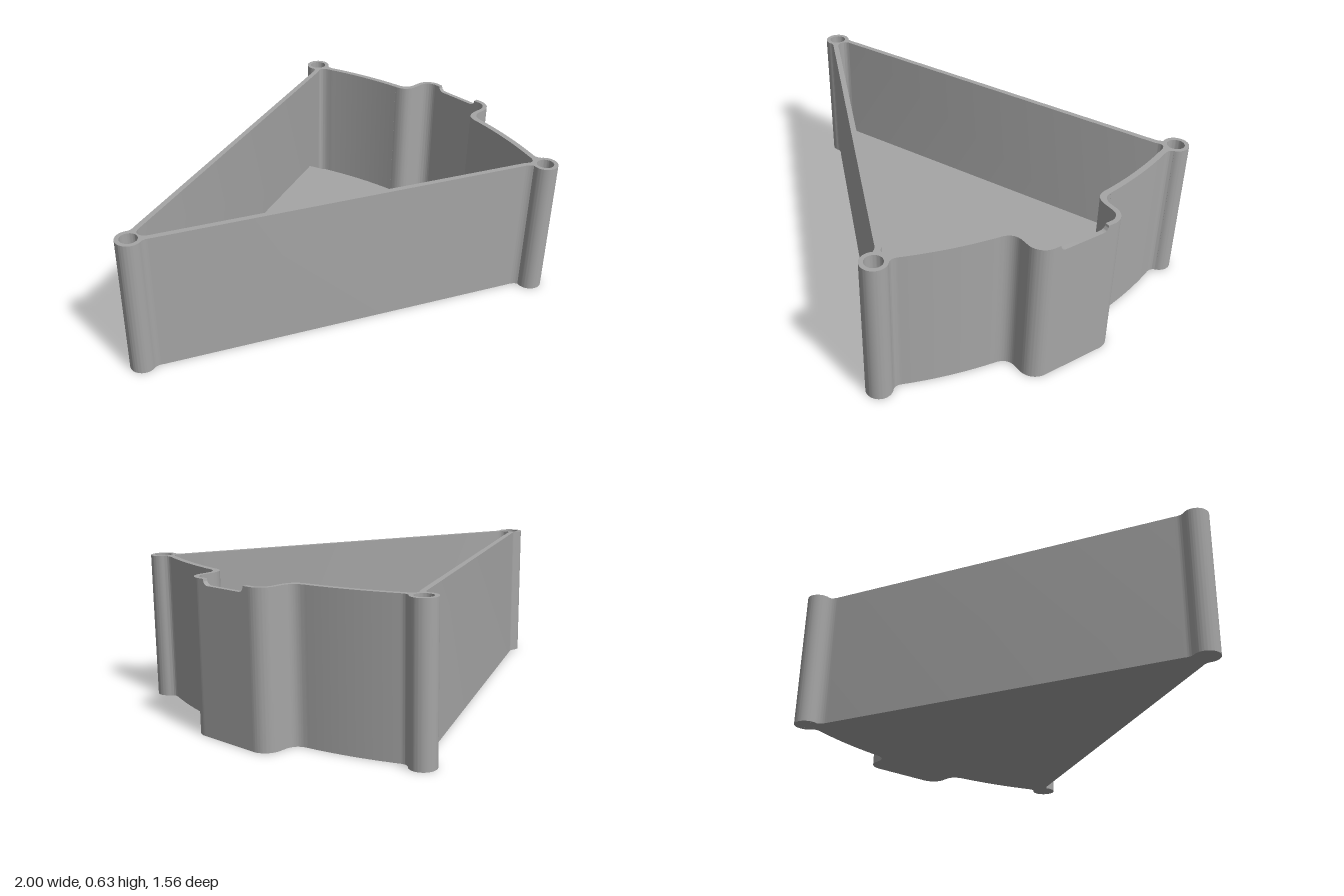
import * as THREE from 'three';
import { toCreasedNormals } from 'three/addons/utils/BufferGeometryUtils.js';

const HEIGHT = 0.63, HOLE_R = 0.037, HOLE_FLOOR = 0.2;
const APEX = -0.945;                       // centre of the sector arcs
const POSTS = [[APEX, 0], [0.715, 0.725], [0.715, -0.725]];
const GAP = 0.13;                          // half width of the notched end panel
const rad = THREE.MathUtils.degToRad;

// Half outlines run from the end panel to the apex, on the +y side
function outerHalf() {
  const p = new THREE.Path();
  p.moveTo(1, GAP);
  p.lineTo(1, 0.14);
  p.absarc(0.93, 0.14, 0.07, 0, Math.PI / 2);
  p.lineTo(0.9, 0.21);
  p.quadraticCurveTo(0.85, 0.21, 0.84, 0.26);
  p.absarc(APEX, 0, 1.804, 0.1446, 0.3645);
  p.quadraticCurveTo(0.732, 0.668, 0.75, 0.683);
  p.absarc(0.715, 0.725, 0.055, rad(-50), rad(205));
  p.quadraticCurveTo(0.655, 0.683, 0.63, 0.675);
  p.lineTo(-0.88, 0.056);
  p.quadraticCurveTo(-0.905, 0.042, -0.922, 0.05);
  p.absarc(APEX, 0, 0.055, rad(65), Math.PI);
  return p.getPoints(20);
}

function innerHalf() {
  const p = new THREE.Path();
  p.moveTo(0.98, GAP);
  p.lineTo(0.98, 0.14);
  p.absarc(0.93, 0.14, 0.05, 0, Math.PI / 2);
  p.lineTo(0.89, 0.19);
  p.quadraticCurveTo(0.82, 0.19, 0.815, 0.26);
  p.absarc(APEX, 0, 1.779, 0.1467, 0.36);
  p.quadraticCurveTo(0.7, 0.7, 0.66, 0.662);
  p.lineTo(-0.88, 0.03);
  p.quadraticCurveTo(-0.9, 0.02, -0.9, 0);
  return p.getPoints(20);
}

// Complete an outline by reflecting it across the long axis
function mirrored(half) {
  const back = half.slice(0, -1).reverse().map(v => new THREE.Vector2(v.x, -v.y));
  return [...half, ...back];
}

// Extrude a plan shape upward from y0 to y1
function prism(shape, y0, y1) {
  const g = new THREE.ExtrudeGeometry(shape, { depth: y1 - y0, bevelEnabled: false, curveSegments: 32 });
  g.rotateX(-Math.PI / 2).translate(0, y0, 0);
  return toCreasedNormals(g, 0.6);
}

export function createModel() {
  const group = new THREE.Group();
  const grey = new THREE.MeshStandardMaterial({ color: 0xa6a6a6 });
  grey.name = 'grey plastic';
  const add = (name, geometry) => {
    const mesh = new THREE.Mesh(geometry, grey);
    mesh.name = name;
    group.add(mesh);
    return mesh;
  };

  const outer = mirrored(outerHalf());
  const inner = mirrored(innerHalf());

  // Wall with its three corner posts, open at the end panel
  const wall = new THREE.Shape([...outer, ...inner.slice().reverse()]);
  for (const [x, y] of POSTS) {
    const hole = new THREE.Path();
    hole.absarc(x, y, HOLE_R, 0, Math.PI * 2, true);
    wall.holes.push(hole);
  }
  add('wall', prism(wall, 0, HEIGHT));

  // Solid lower part of each post, closing the screw hole
  for (const [x, y] of POSTS) {
    const core = add('postCore', new THREE.CylinderGeometry(HOLE_R, HOLE_R, HOLE_FLOOR, 32));
    core.position.set(x, HOLE_FLOOR / 2, -y);
  }

  // End panel with a shallow round-cornered notch in its rim
  const panel = new THREE.Shape();
  panel.moveTo(-GAP, 0);
  panel.lineTo(GAP, 0);
  panel.lineTo(GAP, HEIGHT);
  panel.lineTo(0.112, HEIGHT);
  panel.quadraticCurveTo(0.11, 0.605, 0.085, 0.605);
  panel.lineTo(-0.085, 0.605);
  panel.quadraticCurveTo(-0.11, 0.605, -0.112, HEIGHT);
  panel.lineTo(-GAP, HEIGHT);
  const panelGeometry = new THREE.ExtrudeGeometry(panel, { depth: 0.02, bevelEnabled: false });
  panelGeometry.rotateY(Math.PI / 2).translate(0.98, 0, 0);
  add('endPanel', toCreasedNormals(panelGeometry, 0.6));

  // Thin base, and the raised floor ending in an arc
  add('base', prism(new THREE.Shape(inner), 0, 0.03));
  const raised = new THREE.Shape();
  raised.moveTo(-0.9, 0);
  raised.lineTo(-0.88, -0.03);
  raised.absarc(APEX, 0, 1.63, -0.393, 0.393);
  raised.lineTo(-0.88, 0.03);
  add('raisedFloor', prism(raised, 0.03, 0.12));

  return group;
}
